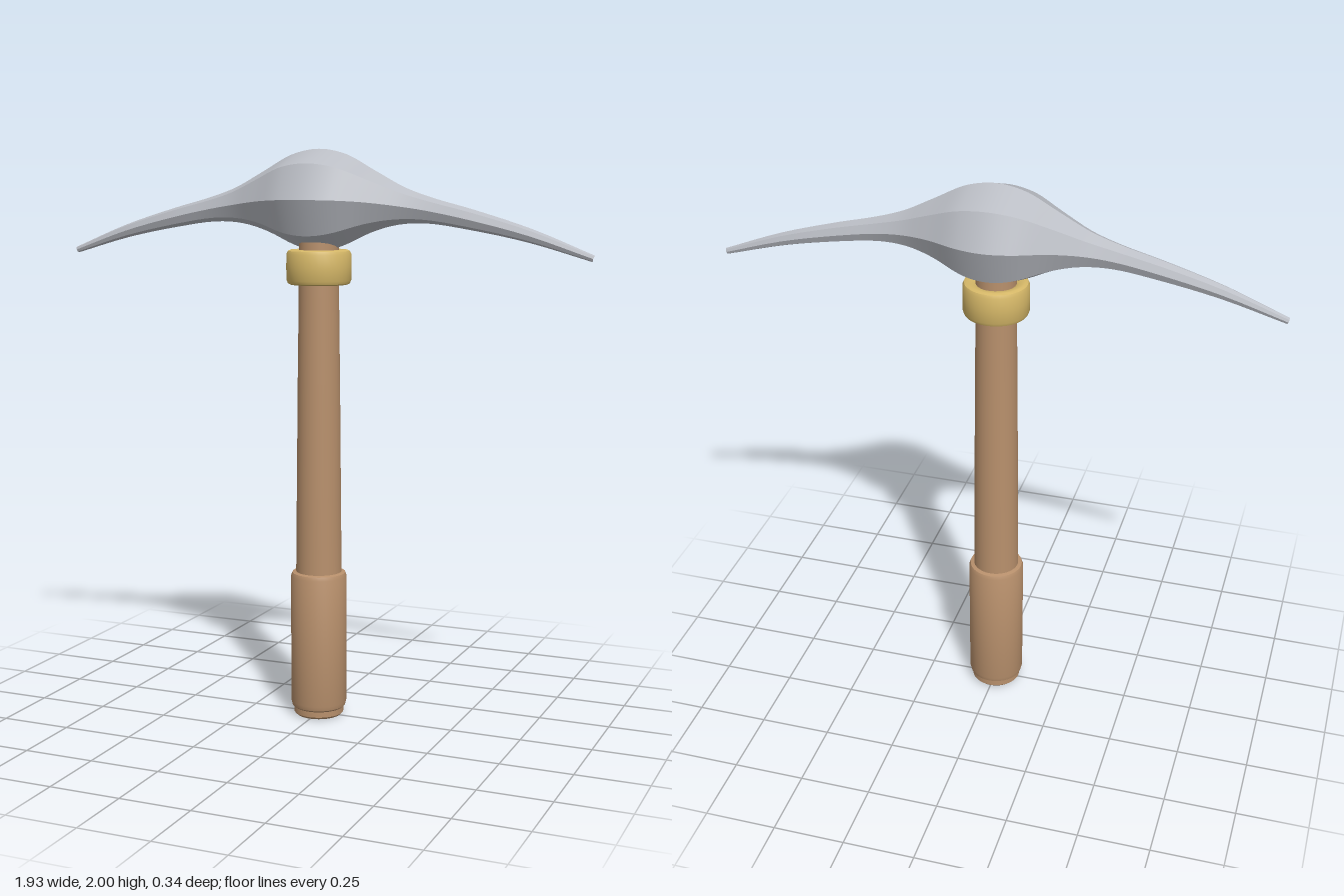
import * as THREE from 'three';
import { toCreasedNormals } from 'three/addons/utils/BufferGeometryUtils.js';

const material = (name, color) => {
  const m = new THREE.MeshStandardMaterial({ color });
  m.name = name;
  return m;
};

// Turned part from [radius, height] pairs, listed bottom to top
function turned(name, profile, mat) {
  const points = profile.map(([r, y]) => new THREE.Vector2(r, y));
  const mesh = new THREE.Mesh(toCreasedNormals(new THREE.LatheGeometry(points, 32), 0.6), mat);
  mesh.name = name;
  return mesh;
}

// Octagonal sections swept along an arched spine; each side is its own smooth strip
function headGeometry() {
  // x, spine height, radius
  const half = [
    [0.03, 1.83, 0.17], [0.1, 1.829, 0.153], [0.2, 1.823, 0.104], [0.3, 1.811, 0.064],
    [0.4, 1.796, 0.044], [0.55, 1.766, 0.034], [0.75, 1.716, 0.023], [0.962, 1.645, 0.011],
  ];
  const spine = [...half.map(([x, y, r]) => [-x, y, r]).reverse(), ...half];
  const curve = new THREE.CatmullRomCurve3(spine.map((p) => new THREE.Vector3(...p)));
  const steps = 60, sides = 8;
  const rings = [];
  for (let i = 0; i <= steps; i++) {
    const p = curve.getPoint(i / steps);
    const t = curve.getTangent(i / steps);
    const len = Math.hypot(t.x, t.y);
    const ring = [];
    for (let j = 0; j <= sides; j++) {
      const a = (j / sides) * Math.PI * 2;
      const up = Math.cos(a) * p.z;
      ring.push([p.x - (t.y / len) * up, p.y + (t.x / len) * up, Math.sin(a) * p.z]);
    }
    rings.push(ring);
  }

  const positions = [], index = [];
  const add = (p) => positions.push(...p) / 3 - 1;
  for (let j = 0; j < sides; j++) {
    const start = positions.length / 3;
    rings.forEach((ring) => { add(ring[j]); add(ring[j + 1]); });
    for (let i = 0; i < steps; i++) {
      const a = start + i * 2;
      index.push(a, a + 1, a + 2, a + 1, a + 3, a + 2);
    }
  }
  // Blunt tips
  [rings[0], rings[steps]].forEach((ring, end) => {
    const start = positions.length / 3;
    ring.slice(0, sides).forEach(add);
    for (let j = 1; j < sides - 1; j++) {
      if (end) index.push(start, start + j + 1, start + j);
      else index.push(start, start + j, start + j + 1);
    }
  });

  const g = new THREE.BufferGeometry();
  g.setAttribute('position', new THREE.Float32BufferAttribute(positions, 3));
  g.setIndex(index);
  g.computeVertexNormals();
  return g;
}

export function createModel() {
  const wood = material('wood', 0xb8906c);
  const brass = material('brass', 0xd6b868);
  const steel = material('steel', 0xbabdc4);

  const group = new THREE.Group();
  group.name = 'pickaxe';

  const head = new THREE.Mesh(headGeometry(), steel);
  head.name = 'head';

  group.add(
    head,
    turned('shaft', [[0.081, 0.5], [0.078, 0.8], [0.074, 1.2], [0.07, 1.5], [0.069, 1.72]], wood),
    turned('grip', [
      [0, 0], [0.08, 0], [0.088, 0.008], [0.088, 0.028], [0.095, 0.034], [0.099, 0.05],
      [0.099, 0.508], [0.094, 0.521], [0.078, 0.525],
    ], wood),
    turned('collar', [
      [0.068, 1.54], [0.098, 1.54], [0.107, 1.544], [0.112, 1.555], [0.113, 1.6],
      [0.112, 1.645], [0.107, 1.656], [0.098, 1.66], [0.082, 1.66], [0.068, 1.652],
    ], brass),
  );
  return group;
}
